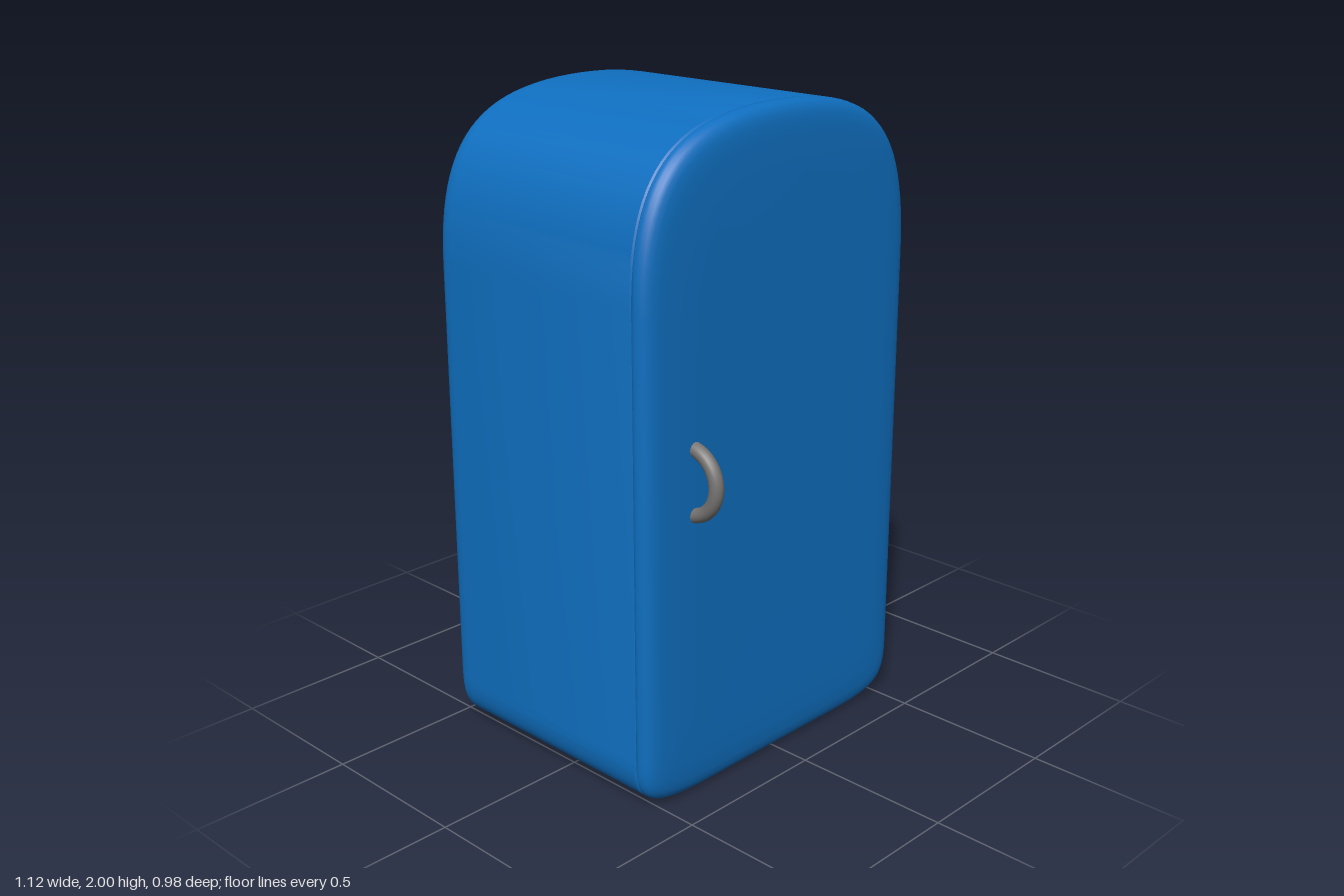
import * as THREE from 'three';
import { toCreasedNormals } from 'three/addons/utils/BufferGeometryUtils.js';

const WIDTH = 0.56; // half width
const MID = 1; // height the cross-section shrinks towards

// Front outline, counter-clockwise: soft bottom corners, wide domed top
function outline() {
  const v = (x, y) => new THREE.Vector2(x, y);
  const bottom = new THREE.CubicBezierCurve(v(0.3, 0), v(0.53, 0), v(WIDTH, 0.03), v(WIDTH, 0.16)).getPoints(14);
  const top = new THREE.CubicBezierCurve(v(WIDTH, 1.5), v(WIDTH, 1.86), v(0.42, 2), v(0, 2)).getPoints(24);
  const right = [...bottom, ...top];
  const left = right.slice(0, -1).reverse().map((p) => v(-p.x, p.y));
  return [...right, ...left];
}

// Closed shell through [z, inset] sections, running from back to front
function shell(sections) {
  const base = outline();
  const n = base.length;
  const pos = [];
  const idx = [];
  for (const [z, inset] of sections) {
    for (const p of base) {
      pos.push(p.x * (1 - inset / WIDTH), MID + (p.y - MID) * (1 - inset), z);
    }
  }
  const back = pos.length / 3;
  const front = back + 1;
  const last = (sections.length - 1) * n;
  pos.push(0, MID, sections[0][0], 0, MID, sections[sections.length - 1][0]);
  for (let i = 0; i < n; i++) {
    const j = (i + 1) % n;
    for (let r = 0; r < last; r += n) {
      idx.push(r + i, r + j, r + n + j, r + i, r + n + j, r + n + i);
    }
    idx.push(back, j, i, front, last + i, last + j);
  }
  const geo = new THREE.BufferGeometry();
  geo.setAttribute('position', new THREE.Float32BufferAttribute(pos, 3));
  geo.setIndex(idx);
  return toCreasedNormals(geo, 0.7);
}

export function createModel() {
  const group = new THREE.Group();
  const blue = new THREE.MeshStandardMaterial({ color: 0x0f6fc0 });
  const grey = new THREE.MeshStandardMaterial({ color: 0x777573 });
  const add = (name, geo, mat) => {
    const mesh = new THREE.Mesh(geo, mat);
    mesh.name = name;
    group.add(mesh);
    return mesh;
  };

  // Cabinet with a rounded back edge
  add('cabinet', shell([
    [-0.49, 0.2], [-0.489, 0.1], [-0.486, 0.05], [-0.481, 0.029], [-0.473, 0.015],
    [-0.46, 0.006], [-0.445, 0.001], [-0.42, 0], [0.325, 0], [0.33, 0.004],
  ]), blue);

  // Door with a rounded front edge, separated by a fine seam
  add('door', shell([
    [0.331, 0.004], [0.336, 0], [0.345, 0], [0.356, 0.002], [0.367, 0.008],
    [0.376, 0.018], [0.382, 0.032], [0.386, 0.055], [0.389, 0.1], [0.39, 0.2],
  ]), blue);

  // Half-ring pull handle, its ends sunk into the door
  const ring = new THREE.TorusGeometry(0.1, 0.022, 16, 40, Math.PI);
  ring.rotateZ(-Math.PI / 2).rotateY(-Math.PI / 2);
  add('handle', ring, grey).position.set(-0.373, 0.988, 0.369);

  return group;
}
